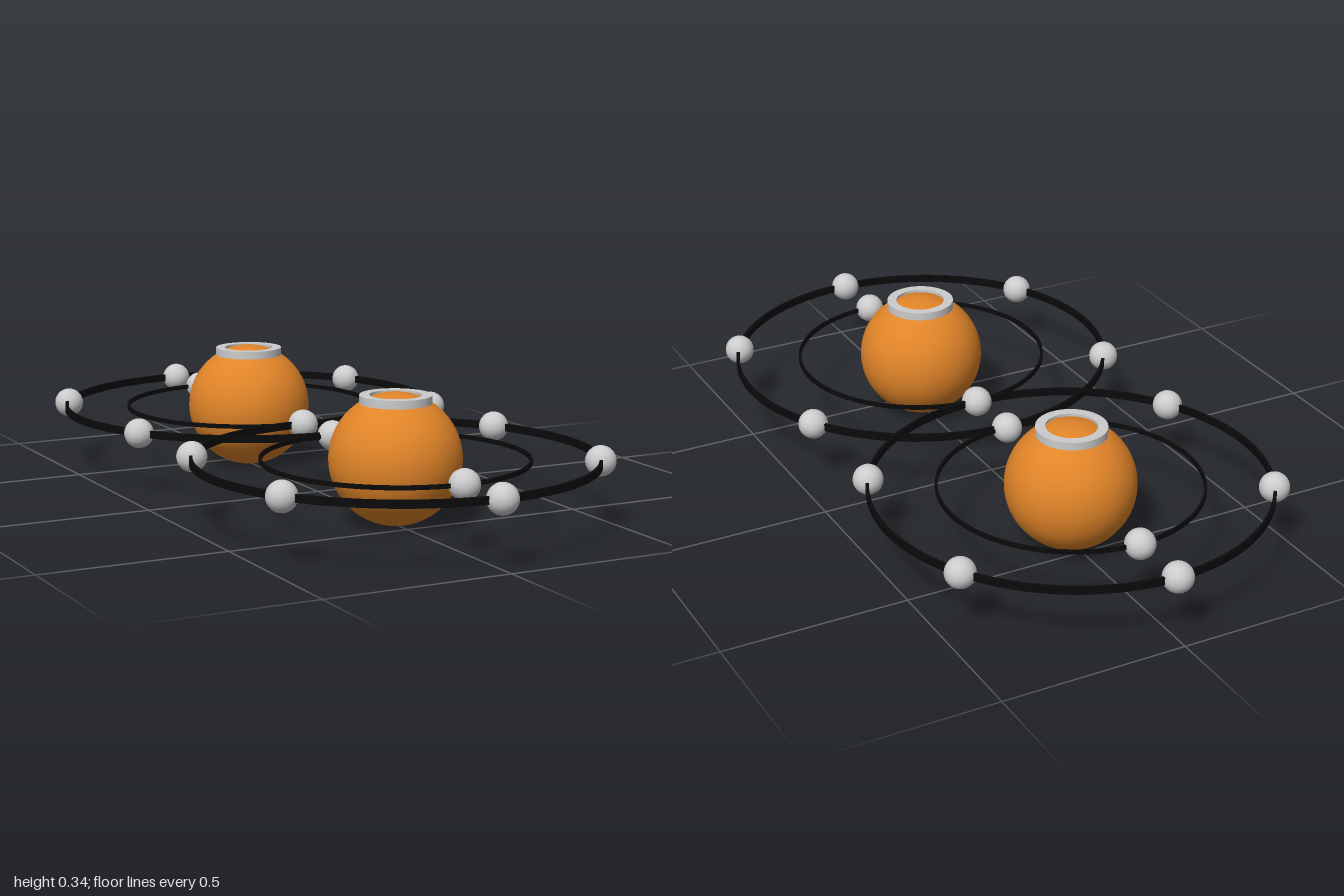
import * as THREE from 'three';

const grey = new THREE.MeshStandardMaterial({ color: 0xcccccc });
const orange = new THREE.MeshStandardMaterial({ color: 0xe08428 });
const black = new THREE.MeshStandardMaterial({ color: 0x0a0a0a });

const MID = 0.175; // height of the orbit plane

// Flat ring with a rectangular section, centred on y = 0
function bandGeometry(inner, outer, height) {
  const shape = new THREE.Shape().absarc(0, 0, outer, 0, Math.PI * 2);
  shape.holes.push(new THREE.Path().absarc(0, 0, inner, 0, Math.PI * 2, true));
  const geometry = new THREE.ExtrudeGeometry(shape, { depth: height, bevelEnabled: false, curveSegments: 64 });
  return geometry.translate(0, 0, -height / 2).rotateX(-Math.PI / 2);
}

function addPart(group, name, geometry, material, x, y, z) {
  const mesh = new THREE.Mesh(geometry, material);
  mesh.name = name;
  mesh.position.set(x, y, z);
  group.add(mesh);
}

// Orbit band with evenly spaced balls, the first one on the z axis
function createOrbit(name, radius, width, height, count, ballGeometry) {
  const orbit = new THREE.Group();
  orbit.name = name;
  addPart(orbit, 'orbitRing', bandGeometry(radius - width, radius, height), black, 0, 0, 0);
  const r = radius - width / 2;
  for (let i = 0; i < count; i++) {
    const a = (i / count) * Math.PI * 2;
    addPart(orbit, 'electron', ballGeometry, grey, r * Math.sin(a), 0, r * Math.cos(a));
  }
  orbit.position.y = MID;
  return orbit;
}

function createAtom(name, z) {
  const atom = new THREE.Group();
  atom.name = name;
  const ball = new THREE.SphereGeometry(0.04, 32, 20);

  // Core ball with a collar around its top
  addPart(atom, 'nucleus', new THREE.SphereGeometry(0.172, 48, 32), orange, 0, MID, 0);
  addPart(atom, 'collar', bandGeometry(0.067, 0.093, 0.022), grey, 0, 0.33, 0);

  // Two orbits
  atom.add(createOrbit('innerOrbit', 0.349, 0.007, 0.011, 2, ball));
  atom.add(createOrbit('outerOrbit', 0.526, 0.009, 0.02, 6, ball));
  atom.position.z = z;
  return atom;
}

export function createModel() {
  const model = new THREE.Group();
  model.name = 'moleculeModel';
  model.add(createAtom('frontAtom', 0.435), createAtom('backAtom', -0.435));
  return model;
}
